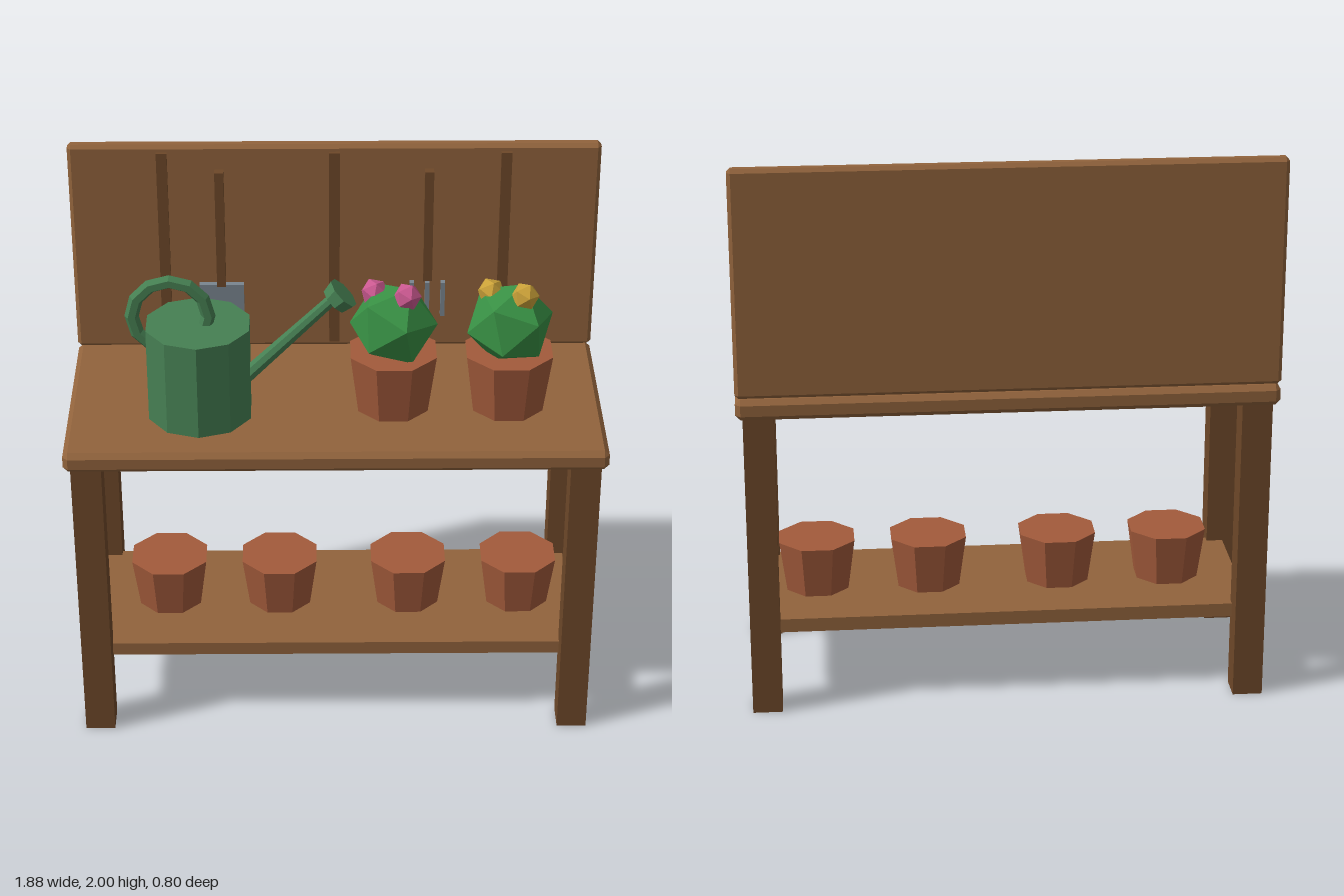
import * as THREE from 'three';
import { ConvexGeometry } from 'three/addons/geometries/ConvexGeometry.js';

const mat = (name, color) => {
  const m = new THREE.MeshStandardMaterial({ color, flatShading: true });
  m.name = name;
  return m;
};

export function createModel() {
  const wood = mat('wood', 0x91633c);
  const darkWood = mat('dark wood', 0x6e4829);
  const terracotta = mat('terracotta', 0xa25a3b);
  const canGreen = mat('can green', 0x468053);
  const leafGreen = mat('leaf green', 0x389044);
  const pink = mat('pink', 0xc9588f);
  const yellow = mat('yellow', 0xc9a038);
  const steel = mat('steel', 0x7a858f);

  const model = new THREE.Group();
  model.name = 'pottingBench';

  const add = (name, geometry, material, x, y, z, parent = model) => {
    const mesh = new THREE.Mesh(geometry, material);
    mesh.name = name;
    mesh.position.set(x, y, z);
    parent.add(mesh);
    return mesh;
  };
  const group = (name, x = 0, y = 0, z = 0) => {
    const g = new THREE.Group();
    g.name = name;
    g.position.set(x, y, z);
    model.add(g);
    return g;
  };
  const box = (w, h, d) => new THREE.BoxGeometry(w, h, d);

  // Box with every edge cut by a flat chamfer c
  const chamferBox = (w, h, d, c) => {
    const points = [];
    for (const sx of [-1, 1]) for (const sy of [-1, 1]) for (const sz of [-1, 1]) {
      for (let flush = 0; flush < 3; flush++) {
        const half = [w / 2, h / 2, d / 2].map((v, i) => (i === flush ? v : v - c));
        points.push(new THREE.Vector3(sx * half[0], sy * half[1], sz * half[2]));
      }
    }
    return new ConvexGeometry(points);
  };

  // Eight-sided pot standing on y, with flat sides toward the axes
  const pot = (name, top, bottom, h, x, y, z, parent) => {
    const mesh = add(name, new THREE.CylinderGeometry(top, bottom, h, 8), terracotta, x, y + h / 2, z, parent);
    mesh.rotation.y = Math.PI / 8;
    return mesh;
  };

  // Bench: top, legs, lower shelf
  add('benchTop', chamferBox(1.88, 0.075, 0.8, 0.018), wood, 0, 1.1525, 0);
  for (const x of [-0.863, 0.863]) for (const z of [-0.325, 0.325]) {
    add('leg', box(0.106, 1.12, 0.106), darkWood, x, 0.56, z);
  }
  add('lowerShelf', box(1.74, 0.05, 0.6), wood, 0, 0.3, 0);

  // Back board with vertical battens
  add('backBoard', chamferBox(1.88, 0.805, 0.05, 0.013), wood, 0, 1.5975, -0.375);
  for (const x of [-0.608, 0, 0.606]) {
    add('batten', box(0.038, 0.755, 0.016), darkWood, x, 1.598, -0.344);
  }

  // Empty pots on the shelf
  for (const x of [-0.61, -0.205, 0.267, 0.672]) {
    pot('emptyPot', 0.147, 0.12, 0.19, x, 0.325, 0);
  }

  // Planted pots: faceted bush with two blossoms
  const plant = (x, blossom, tilt) => {
    const g = group('pottedPlant', x, 1.19, 0.06);
    pot('plantPot', 0.162, 0.132, 0.22, 0, 0, 0, g);
    add('foliage', new THREE.IcosahedronGeometry(0.155, 0), leafGreen, 0, 0.325, 0, g).rotation.set(...tilt);
    const flower = new THREE.IcosahedronGeometry(0.05, 0);
    add('blossom', flower, blossom, 0.045, 0.45, 0.04, g).rotation.set(0.3, 0.4, 0.2);
    add('blossom', flower, blossom, -0.067, 0.425, -0.04, g).rotation.set(0.5, 0.2, 0.4);
  };
  plant(0.202, pink, [0.3, 0.4, 0.15]);
  plant(0.606, yellow, [0.3, 0.8, 0.1]);

  // Watering can: body, ring handle, spout and sprinkler head
  const can = group('wateringCan', -0.475, 1.19, 0.1);
  add('canBody', new THREE.CylinderGeometry(0.187, 0.187, 0.35, 10), canGreen, 0, 0.175, 0, can);
  add('canHandle', new THREE.TorusGeometry(0.132, 0.025, 6, 12), canGreen, -0.095, 0.38, 0, can);
  const spoutAngle = -Math.PI / 4;
  add('spout', new THREE.CylinderGeometry(0.021, 0.029, 0.5, 8), canGreen, 0.295, 0.272, 0, can)
    .rotation.z = spoutAngle;
  add('sprinklerHead', new THREE.CylinderGeometry(0.062, 0.052, 0.045, 8), canGreen, 0.487, 0.45, 0, can)
    .rotation.z = spoutAngle;

  // Hanging spade
  const spade = group('spade', -0.406, 0, -0.31);
  add('spadeHandle', box(0.032, 0.45, 0.032), darkWood, 0, 1.695, 0, spade);
  add('spadeBlade', box(0.16, 0.2, 0.022), steel, 0, 1.375, -0.002, spade);

  // Hanging hand fork
  const fork = group('handFork', 0.334, 0, -0.31);
  add('forkHandle', box(0.032, 0.43, 0.032), darkWood, 0, 1.705, 0, fork);
  for (const x of [-0.056, 0, 0.056]) {
    add('tine', box(0.016, 0.135, 0.022), steel, x, 1.412, -0.002, fork);
  }

  return model;
}
